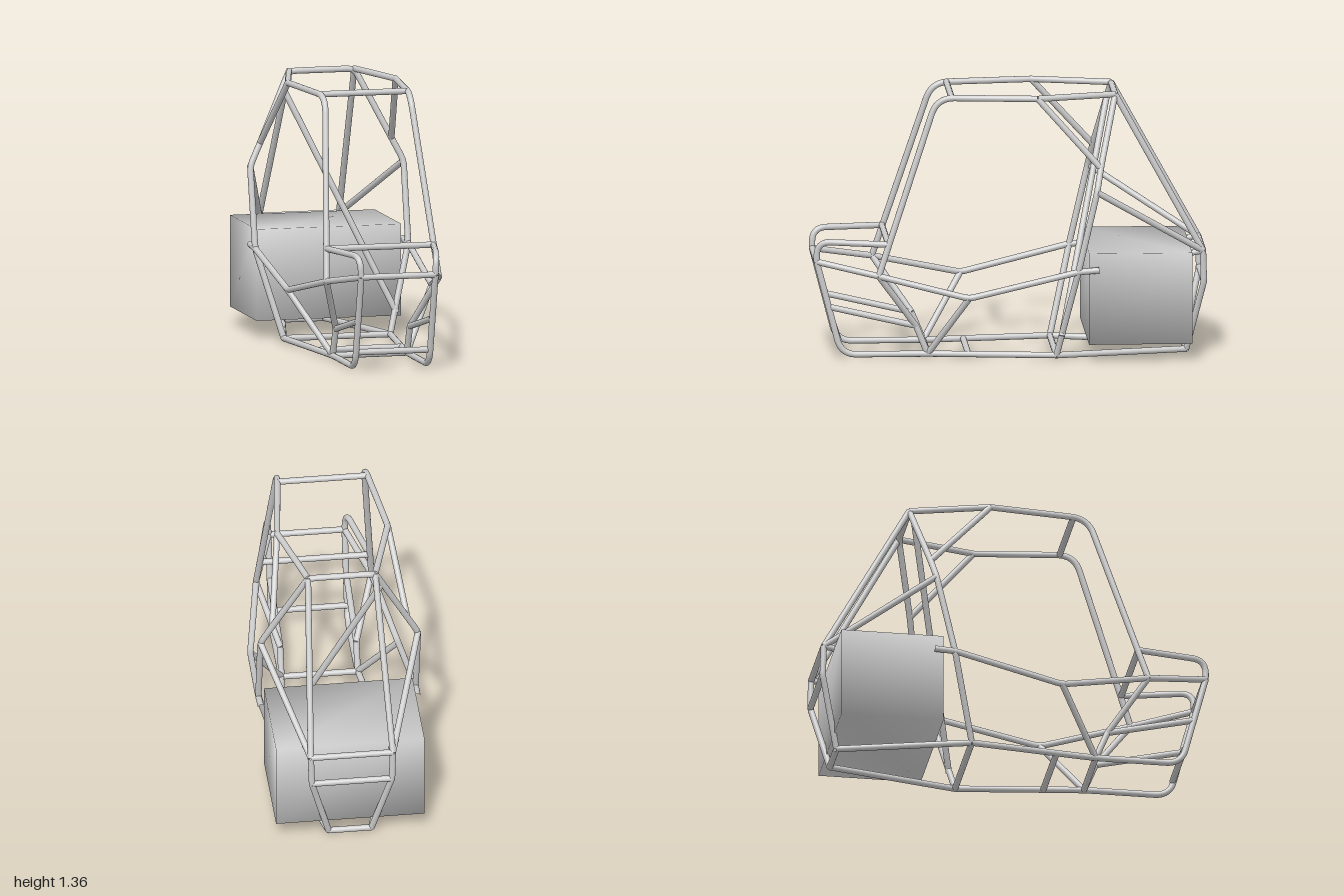
import * as THREE from 'three';
import { mergeVertices } from 'three/addons/utils/BufferGeometryUtils.js';

const R = 0.016; // tube radius
const material = new THREE.MeshStandardMaterial({ color: 0xcccccc });
const V = (p) => new THREE.Vector3(...p);
const flip = ([x, y, z]) => [-x, y, z];

export function createModel() {
  const group = new THREE.Group();
  group.name = 'tubeFrameBuggy';

  const add = (name, geometry) => {
    const mesh = new THREE.Mesh(geometry, material);
    mesh.name = name;
    group.add(mesh);
    return mesh;
  };

  // Straight capped tube between two points
  const bar = (name, a, b) => {
    const from = V(a), dir = V(b).sub(from);
    const mesh = add(name, new THREE.CylinderGeometry(R, R, dir.length(), 16));
    mesh.position.copy(from).addScaledVector(dir, 0.5);
    mesh.quaternion.setFromUnitVectors(new THREE.Vector3(0, 1, 0), dir.normalize());
  };

  // Bent tube through corner points, each corner rounded over a given length
  const bent = (name, points, bend = 0.04) => {
    const pts = points.map(V);
    const path = new THREE.CurvePath();
    let start = pts[0];
    for (let i = 1; i < pts.length - 1; i++) {
      const toward = (q) => pts[i].clone().add(q.clone().sub(pts[i]).setLength(bend));
      const enter = toward(pts[i - 1]), leave = toward(pts[i + 1]);
      path.add(new THREE.LineCurve3(start, enter));
      path.add(new THREE.QuadraticBezierCurve3(enter, pts[i], leave));
      start = leave;
    }
    path.add(new THREE.LineCurve3(start, pts[pts.length - 1]));
    add(name, new THREE.TubeGeometry(path, 120, R, 14));
  };

  const pair = (name, a, b) => {
    bar(name + 'Left', a, b);
    bar(name + 'Right', flip(a), flip(b));
  };
  const bentPair = (name, points, bend) => {
    bent(name + 'Left', points, bend);
    bent(name + 'Right', points.map(flip), bend);
  };
  const cross = (name, [x, y, z]) => bar(name, [-x, y, z], [x, y, z]);

  // Joints on the left side
  const noseTop = [0.195, 0.505, 0.985];
  const noseMid = [0.195, 0.27, 0.915];
  const pillarFoot = [0.295, 0.445, 0.675];
  const dashEnd = [0.28, 0.605, 0.625];
  const footNode = [0.195, 0.17, 0.48];
  const floorFront = [0.195, 0.025, 0.42];
  const floorRear = [0.28, 0.025, -0.23];
  const sideNode = [0.378, 0.34, 0.22];
  const hoopLow = [0.402, 0.475, -0.335];
  const hoopHigh = [0.403, 0.885, -0.43];
  const hoopBrace = [0.345, 1.0, -0.452];
  const hoopTop = [0.172, 1.35, -0.535];
  const roofSide = [0.283, 1.35, -0.135];
  const rearTop = [0.21, 0.545, -0.98];
  const rearMid = [0.205, 0.385, -0.985];
  const rearFoot = [0.11, 0.02, -0.9];

  // Main hoop behind the seats, with its diagonal
  const leg = [floorRear, hoopLow, hoopHigh, hoopBrace, hoopTop];
  bent('mainHoop', [...leg, ...leg.map(flip).reverse()], 0.03);
  bar('hoopDiagonal', [-0.21, 1.27, -0.515], [0.32, 0.13, -0.255]);

  // Windscreen pillars running into the roof rails
  bentPair('pillarAndRoofRail', [pillarFoot, [0.222, 1.35, 0.375], roofSide], 0.09);
  pair('rearRoofRail', roofSide, hoopTop);
  pair('roofBrace', roofSide, hoopBrace);
  cross('windscreenTopBar', [0.228, 1.35, 0.3]);

  // Floor rails curving up into the nose
  bentPair('floorRail', [floorRear, floorFront, [0.195, 0.025, 0.86], noseTop], 0.08);
  cross('floorFrontBar', floorFront);
  cross('floorMiddleBar', [0.224, 0.025, 0.215]);
  cross('floorRearBar', floorRear);
  cross('noseLowerBar', [0.195, 0.105, 0.875]);
  cross('noseUpperBar', noseTop);

  // Front hoops and dashboard bar
  bentPair('frontHoop', [noseTop, [0.2, 0.61, 0.985], dashEnd], 0.075);
  cross('dashBar', dashEnd);

  // Side bracing
  pair('noseSideBar', noseTop, pillarFoot);
  pair('pedalSideBar', noseMid, footNode);
  pair('footBrace', pillarFoot, footNode);
  pair('footPost', footNode, floorFront);
  pair('sideDiagonal', sideNode, floorFront);
  bentPair('sideBar', [pillarFoot, sideNode, hoopLow, [0.4, 0.483, -0.44]], 0.03);

  // Rear frame
  bentPair('rearUpright', [rearTop, rearMid, rearFoot], 0.02);
  pair('rearFloorRail', floorRear, rearFoot);
  pair('rearUpperBrace', hoopTop, rearTop);
  pair('rearSideBrace', hoopHigh, rearTop);
  pair('rearStub', rearTop, [0.21, 0.535, -0.925]);
  cross('rearUpperBar', rearTop);
  cross('rearMiddleBar', rearMid);
  cross('rearLowerBar', rearFoot);

  // Engine block with shared corners for soft shading
  let block = new THREE.BoxGeometry(0.76, 0.47, 0.525);
  block.deleteAttribute('normal');
  block.deleteAttribute('uv');
  block = mergeVertices(block);
  block.computeVertexNormals();
  add('engineBlock', block).position.set(0, 0.33, -0.653);

  return group;
}
